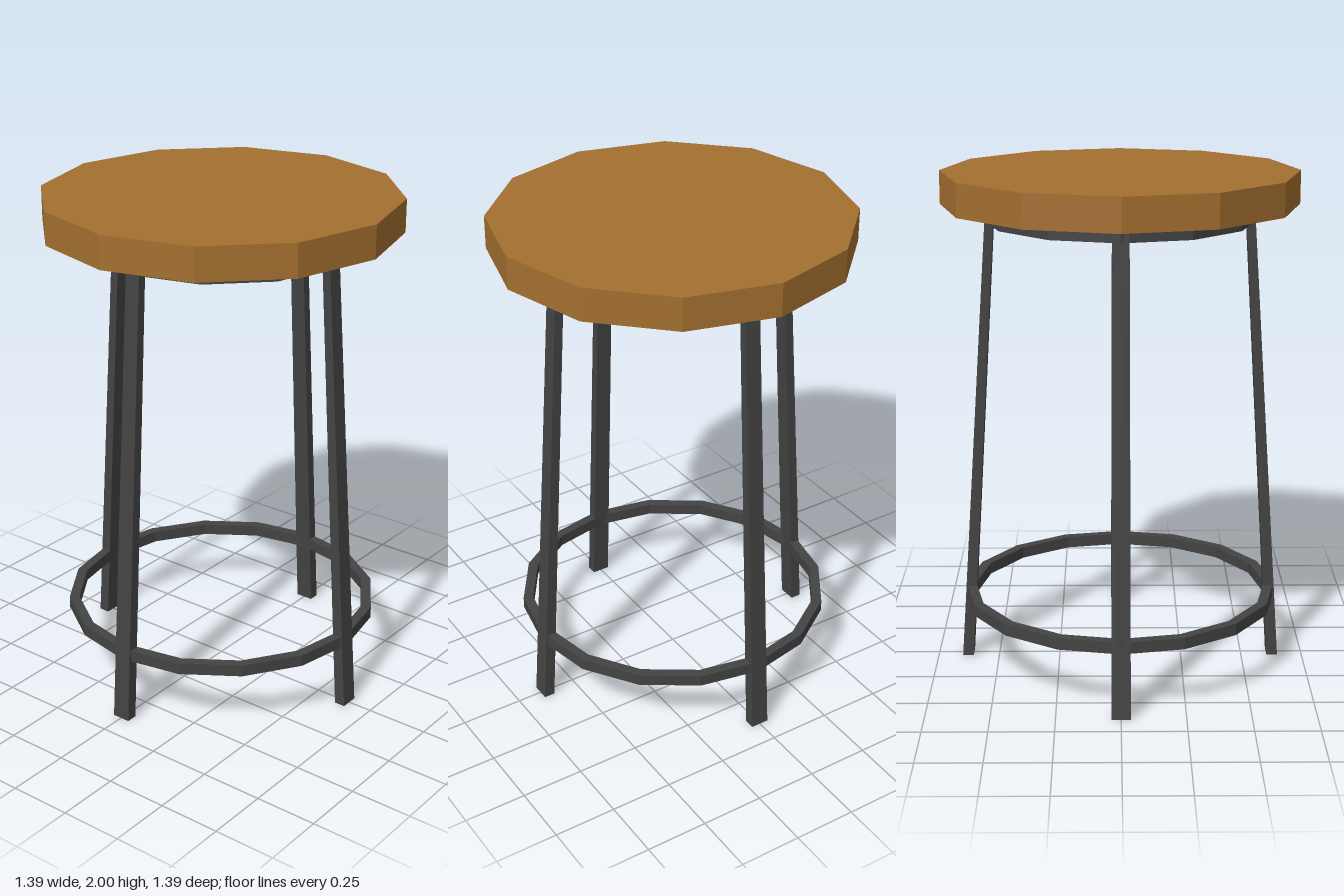
import * as THREE from 'three';

const wood = new THREE.MeshStandardMaterial({ color: 0xa36f2f });
wood.name = 'wood';
const metal = new THREE.MeshStandardMaterial({ color: 0x434343 });
metal.name = 'darkMetal';

// Mesh with one normal per face
function faceted(geometry, material, name) {
  const flat = geometry.index ? geometry.toNonIndexed() : geometry;
  flat.computeVertexNormals();
  const mesh = new THREE.Mesh(flat, material);
  mesh.name = name;
  return mesh;
}

// Square-section polygonal ring
function ring(outer, thickness, y0, y1, sides, name) {
  const inner = outer - thickness;
  const profile = [[outer, y0], [outer, y1], [inner, y1], [inner, y0], [outer, y0]]
    .map(([r, y]) => new THREE.Vector2(r, y));
  return faceted(new THREE.LatheGeometry(profile, sides), metal, name);
}

// Flat bar leaning inwards, level at both ends and slightly tapered
function leg(angle) {
  const height = 1.87;
  const geo = new THREE.BoxGeometry(1, height, 1);
  geo.translate(0, height / 2, 0);
  const p = geo.attributes.position;
  for (let i = 0; i < p.count; i++) {
    const t = p.getY(i) / height;
    const width = THREE.MathUtils.lerp(0.074, 0.062, t);
    const depth = THREE.MathUtils.lerp(0.044, 0.034, t);
    const offset = THREE.MathUtils.lerp(0.628, 0.503, t);
    p.setX(i, p.getX(i) * width);
    p.setZ(i, p.getZ(i) * depth + offset);
  }
  const mesh = faceted(geo, metal, 'leg');
  mesh.rotation.y = angle;
  return mesh;
}

export function createModel() {
  const stool = new THREE.Group();
  stool.name = 'stool';

  // Twelve-sided wooden seat
  const seat = faceted(new THREE.CylinderGeometry(0.697, 0.697, 0.13, 12), wood, 'seat');
  seat.position.y = 1.935;
  stool.add(seat);

  // Seat support and foot rest
  stool.add(ring(0.526, 0.04, 1.807, 1.869, 12, 'seatRing'));
  stool.add(ring(0.631, 0.04, 0.26, 0.307, 16, 'footRing'));

  // Four legs
  for (let i = 0; i < 4; i++) stool.add(leg(i * Math.PI / 2));

  return stool;
}
